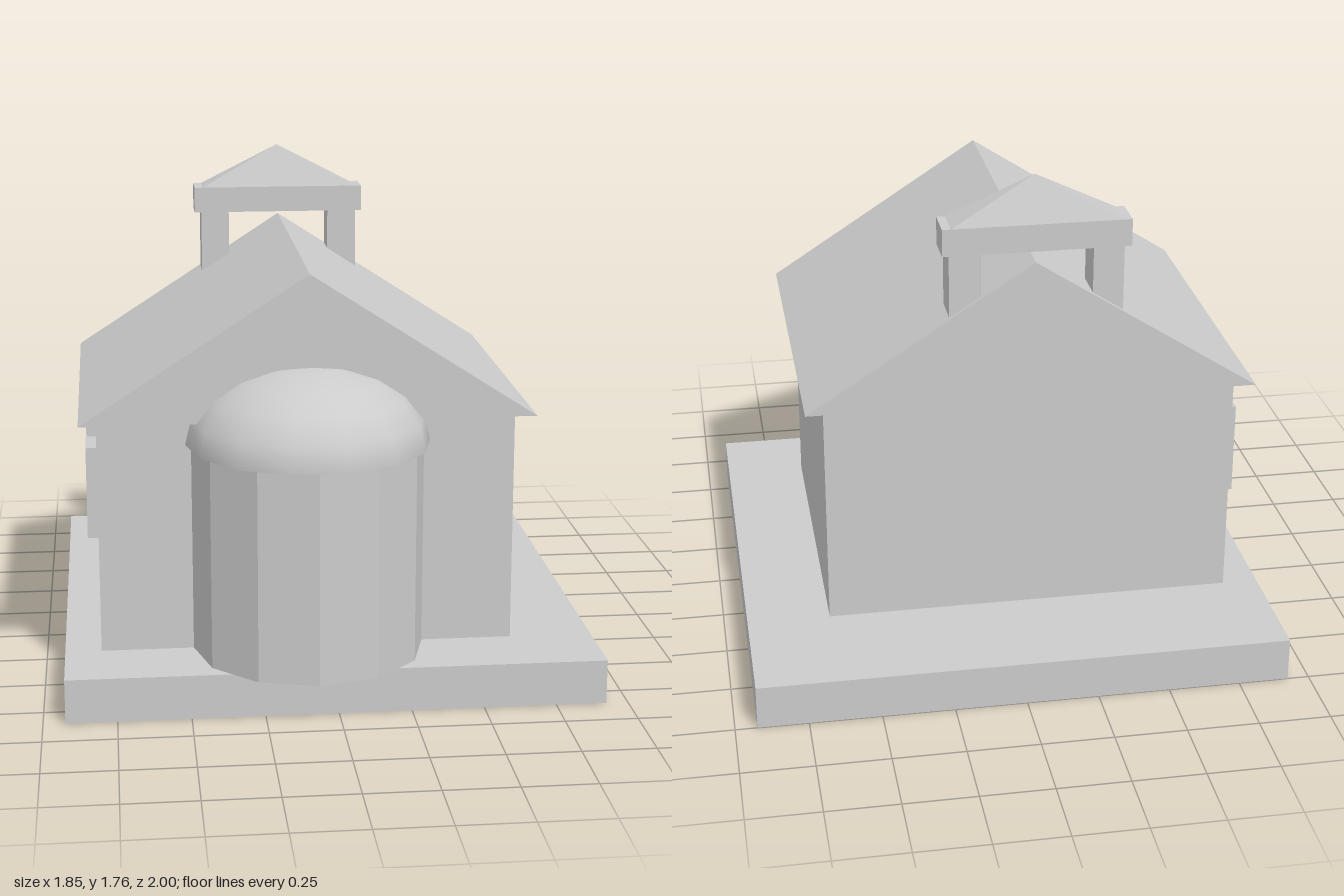
import * as THREE from 'three';

const CX = -0.08; // centre line of the building

export function createModel() {
  const chapel = new THREE.Group();
  chapel.name = 'chapel';
  const flat = new THREE.MeshStandardMaterial({ color: 0xcccccc, flatShading: true });
  const smooth = new THREE.MeshStandardMaterial({ color: 0xcccccc });

  const add = (name, geometry, material = flat) => {
    const mesh = new THREE.Mesh(geometry, material);
    mesh.name = name;
    chapel.add(mesh);
    return mesh;
  };
  // box given by its limits along each axis
  const box = (name, [x0, x1], [y0, y1], [z0, z1]) =>
    add(name, new THREE.BoxGeometry(x1 - x0, y1 - y0, z1 - z0))
      .position.set((x0 + x1) / 2, (y0 + y1) / 2, (z0 + z1) / 2);

  // ground slab and walls
  box('base', [-0.925, 0.925], [0, 0.155], [-1, 0.855]);
  box('walls', [-0.8, 0.635], [0.155, 0.98], [-0.58, 0.59]);

  // gabled roof
  const gable = new THREE.Shape([
    new THREE.Vector2(-0.78, 0.975),
    new THREE.Vector2(0.78, 0.975),
    new THREE.Vector2(0, 1.48),
  ]);
  add('roof', new THREE.ExtrudeGeometry(gable, { depth: 1.3, bevelEnabled: false }))
    .position.set(CX, 0, -0.645);

  // twelve-sided apse with a flattened dome
  add('apse', new THREE.CylinderGeometry(0.4, 0.4, 0.735, 12))
    .position.set(CX, 0.5225, 0.59);
  const dome = add('apseDome',
    new THREE.SphereGeometry(0.42, 14, 5, 0, Math.PI * 2, 0, Math.PI / 2), smooth);
  dome.scale.y = 0.28 / 0.42;
  dome.position.set(CX, 0.887, 0.59);
  const eave = add('domeUnderside', new THREE.CircleGeometry(0.42, 14));
  eave.rotation.x = Math.PI / 2;
  eave.position.copy(dome.position);

  // three raised windows on one side wall
  for (const z of [-0.413, -0.073, 0.278]) {
    box('window', [-0.84, -0.79], [0.49, 0.82], [z - 0.078, z + 0.078]);
  }

  // bell arch: two posts, a lintel and a pyramid cap
  const depth = [-0.625, -0.497];
  box('bellPost', [-0.385, -0.28], [1.2, 1.51], depth);
  box('bellPost', [0.1, 0.208], [1.2, 1.51], depth);
  box('bellLintel', [-0.41, 0.23], [1.51, 1.605], depth);
  const cap = new THREE.CylinderGeometry(0, Math.SQRT1_2, 1, 4);
  cap.rotateY(Math.PI / 4);
  cap.scale(0.58, 0.155, 0.128);
  add('bellCap', cap).position.set(-0.09, 1.6825, -0.561);

  return chapel;
}
